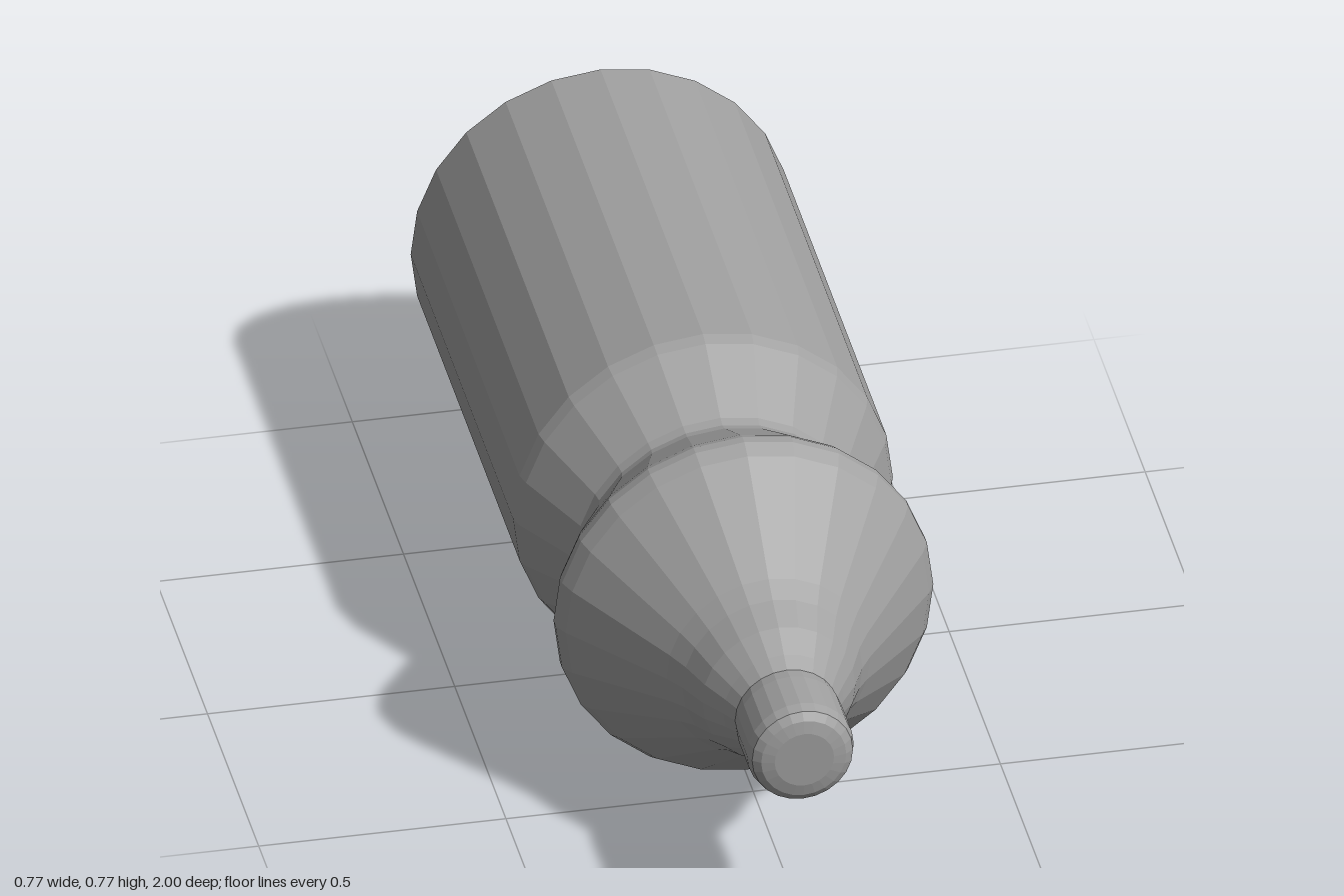
import * as THREE from 'three';

const grey = new THREE.MeshStandardMaterial({ color: 0xa0a0a0, flatShading: true });
grey.name = 'plain grey';

const AXIS_HEIGHT = 0.385;
const SIDES = 24;

// Turns a list of [z, radius] pairs around the bottle's horizontal axis
function turned(name, profile) {
  const points = profile.map(([z, r]) => new THREE.Vector2(r, z));
  const geometry = new THREE.LatheGeometry(points, SIDES);
  geometry.rotateX(Math.PI / 2);
  const mesh = new THREE.Mesh(geometry, grey);
  mesh.name = name;
  mesh.position.y = AXIS_HEIGHT;
  return mesh;
}

export function createModel() {
  const bottle = new THREE.Group();
  bottle.name = 'bottle';

  // Shallow hollow in the base, with a small rounded rim
  bottle.add(turned('base', [[-0.93, 0], [-0.955, 0.2], [-0.995, 0.365], [-1, 0.375], [-0.99, 0.384]]));

  // Straight-sided barrel
  bottle.add(turned('barrel', [[-0.99, 0.384], [0.01, 0.384], [0.035, 0.376]]));

  // Pinched grip between the barrel and the shoulder
  bottle.add(turned('waist', [
    [0.035, 0.376], [0.11, 0.333], [0.18, 0.293], [0.2, 0.288], [0.22, 0.293],
    [0.3, 0.335], [0.375, 0.374],
  ]));

  // Bulge tapering forward to the neck
  bottle.add(turned('shoulder', [
    [0.375, 0.374], [0.395, 0.382], [0.415, 0.382], [0.445, 0.367], [0.55, 0.285],
    [0.65, 0.207], [0.69, 0.182], [0.75, 0.155], [0.8, 0.122], [0.83, 0.105],
  ]));

  // Short spout with a rounded, closed tip
  bottle.add(turned('spout', [
    [0.83, 0.105], [0.86, 0.108], [0.96, 0.108], [0.982, 0.102], [0.994, 0.086], [1, 0.06], [1, 0],
  ]));

  return bottle;
}
